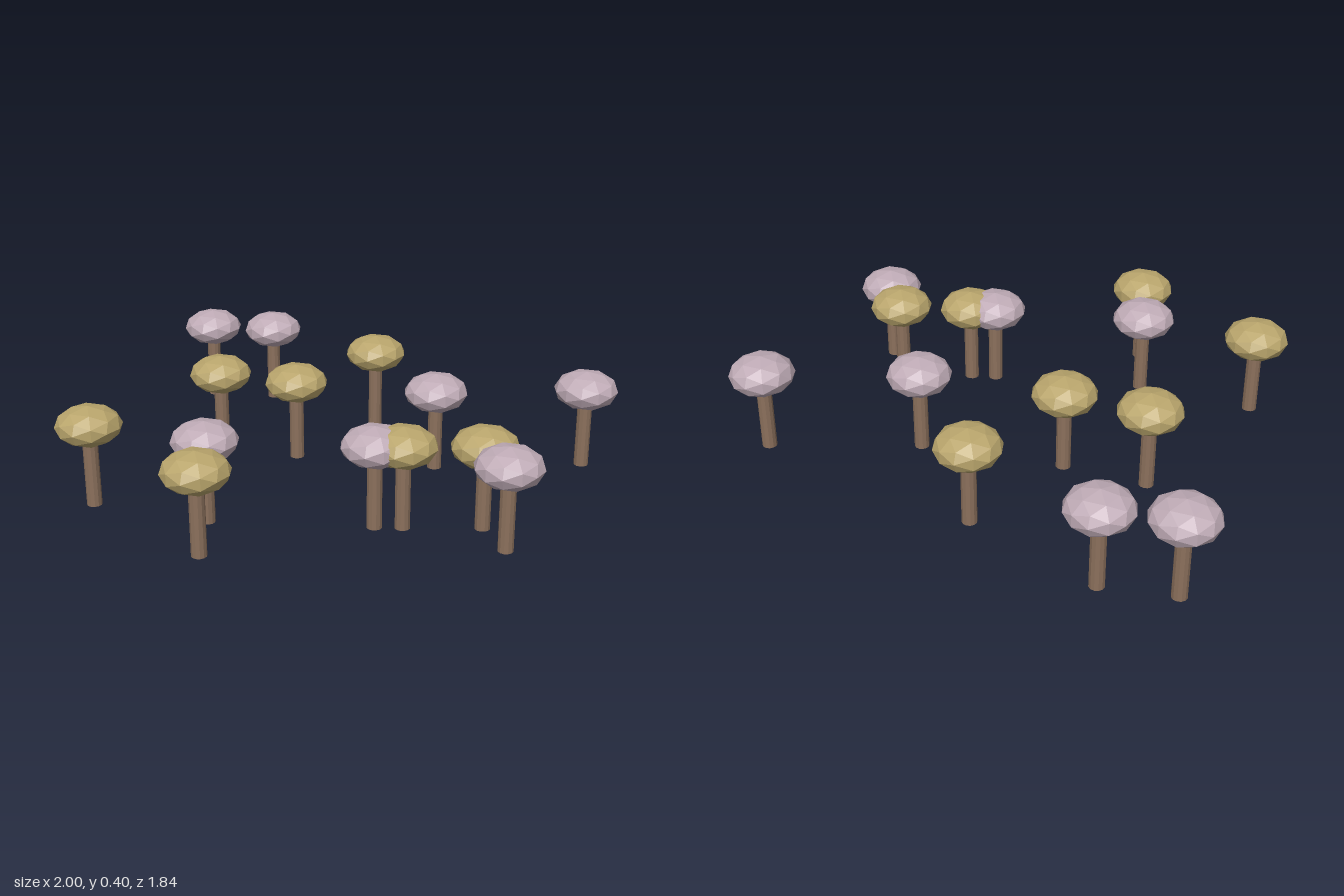
import * as THREE from 'three';

export function createModel() {
  const model = new THREE.Group();
  model.name = 'grove';

  const material = (name, color) => {
    const m = new THREE.MeshStandardMaterial({ color, flatShading: true });
    m.name = name;
    return m;
  };
  const gold = material('golden leaves', 0xb9a56c);
  const mauve = material('mauve leaves', 0xbfabb6);
  const bark = material('brown bark', 0x8b705c);

  // Shared shapes: a slim trunk and a squashed faceted crown
  const R = 0.127, crownY = 0.323;
  const trunkShape = new THREE.CylinderGeometry(0.029, 0.029, crownY, 12);
  trunkShape.translate(0, crownY / 2, 0);
  const crownShape = new THREE.IcosahedronGeometry(R, 1);
  crownShape.scale(1, 0.6, 1);
  crownShape.translate(0, crownY, 0);

  const addTree = (leaves, [x, z]) => {
    const tree = new THREE.Group();
    tree.name = 'tree';
    const trunk = new THREE.Mesh(trunkShape, bark);
    trunk.name = 'trunk';
    const crown = new THREE.Mesh(crownShape, leaves);
    crown.name = 'crown';
    tree.add(trunk, crown);
    tree.position.set(x, 0, z);
    model.add(tree);
  };

  // Tree positions on the ground (x, z)
  const goldSpots = [
    [-0.058, -0.612], [-0.59, -0.16], [-0.258, -0.155], [0.333, 0.361],
    [0.613, 0.278], [-0.836, 0.519], [-0.287, 0.79],
  ];
  const mauveSpots = [
    [-0.873, -0.75], [-0.598, -0.795], [0.871, -0.425], [0.308, -0.216],
    [0.234, 0.388], [0.729, 0.428], [-0.366, 0.528],
  ];
  goldSpots.forEach((p) => addTree(gold, p));
  mauveSpots.forEach((p) => addTree(mauve, p));

  return model;
}
